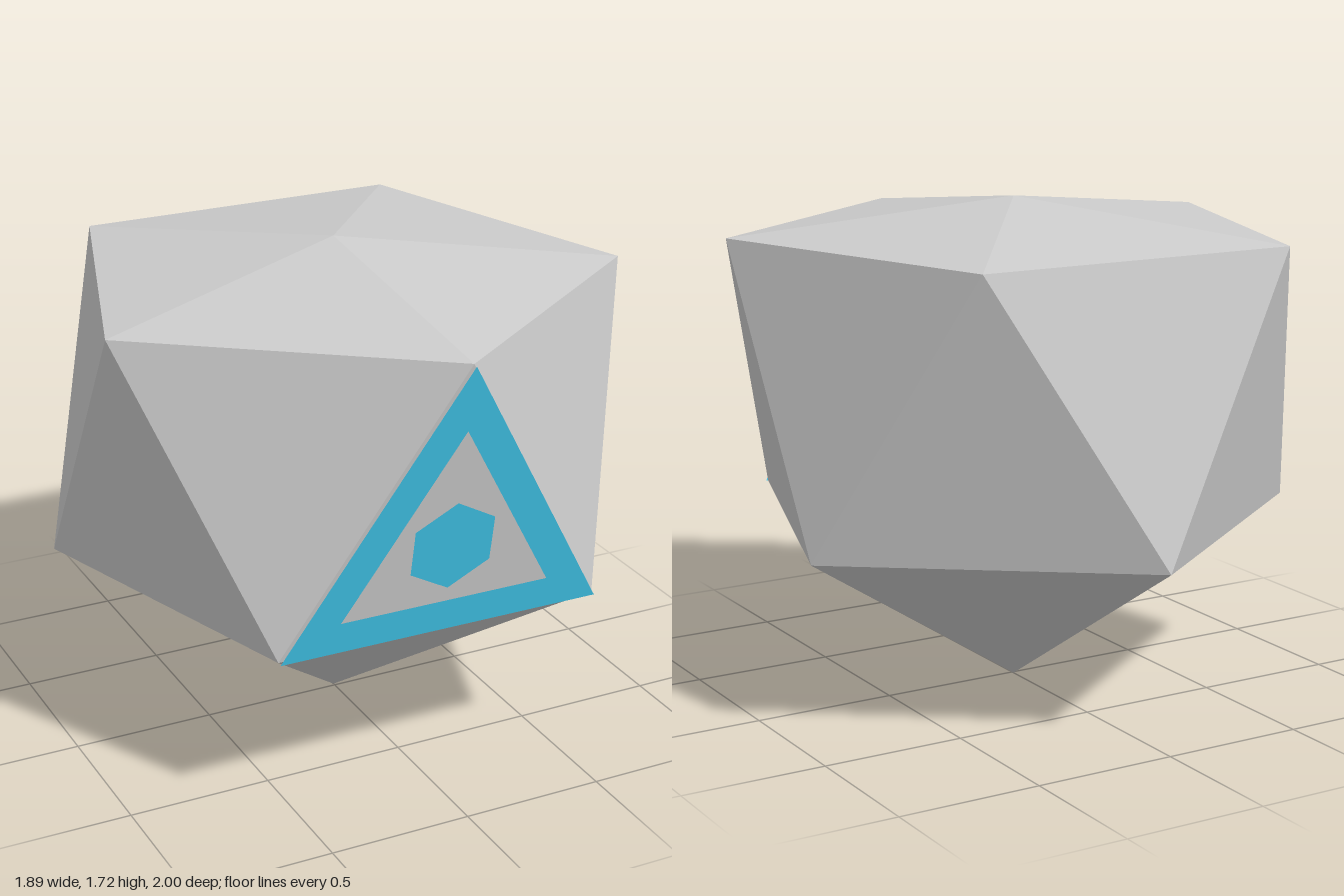
import * as THREE from 'three';

const R = 0.99;                       // radius of both five-point rings
const LOW = 0.614, HIGH = 1.604, TOP = 1.722;

// Five points around the y axis, the first at the given angle from +z
function ring(y, start) {
  return Array.from({ length: 5 }, (_, i) => {
    const a = start + (i * Math.PI * 2) / 5;
    return new THREE.Vector3(R * Math.sin(a), y, R * Math.cos(a));
  });
}

// Twenty-sided solid with a flattened cap
function bodyGeometry() {
  const upper = ring(HIGH, 0), lower = ring(LOW, Math.PI / 5);
  const top = new THREE.Vector3(0, TOP, 0), bottom = new THREE.Vector3();
  const points = [];
  for (let i = 0; i < 5; i++) {
    const j = (i + 1) % 5;
    points.push(top, upper[i], upper[j]);
    points.push(upper[i], lower[i], upper[j]);
    points.push(lower[i], lower[j], upper[j]);
    points.push(bottom, lower[j], lower[i]);
  }
  const geometry = new THREE.BufferGeometry().setFromPoints(points);
  geometry.computeVertexNormals();
  return geometry;
}

// Corners of a regular polygon with one point straight up
function polygon(sides, radius) {
  return Array.from({ length: sides }, (_, i) => {
    const a = Math.PI / 2 + (i * Math.PI * 2) / sides;
    return new THREE.Vector2(radius * Math.cos(a), radius * Math.sin(a));
  });
}

export function createModel() {
  const model = new THREE.Group();
  model.name = 'facetedSolid';
  model.position.z = -0.01;
  model.rotation.y = -0.007;

  const grey = new THREE.MeshStandardMaterial({ color: 0xcccccc, flatShading: true });
  const blue = new THREE.MeshStandardMaterial({ color: 0x40c4e8, side: THREE.DoubleSide });

  const body = new THREE.Mesh(bodyGeometry(), grey);
  body.name = 'body';
  model.add(body);

  // Flat decoration floating just off the front face
  const tilt = Math.asin((1 - Math.cos(Math.PI / 5)) * R / Math.hypot(HIGH - LOW, 0.19));
  const offset = 0.017;
  const panel = new THREE.Group();
  panel.name = 'frontPanel';
  panel.rotation.x = tilt;
  panel.position.set(
    0,
    LOW + (HIGH - LOW) / 3 - offset * Math.sin(tilt),
    R * (1 + 2 * Math.cos(Math.PI / 5)) / 3 + offset * Math.cos(tilt)
  );

  const frameShape = new THREE.Shape(polygon(3, 0.672));
  frameShape.holes.push(new THREE.Path(polygon(3, 0.437)));
  const frame = new THREE.Mesh(new THREE.ShapeGeometry(frameShape), blue);
  frame.name = 'triangleFrame';

  const hexagon = new THREE.Mesh(new THREE.ShapeGeometry(new THREE.Shape(polygon(6, 0.166))), blue);
  hexagon.name = 'hexagon';

  panel.add(frame, hexagon);
  model.add(panel);
  return model;
}
